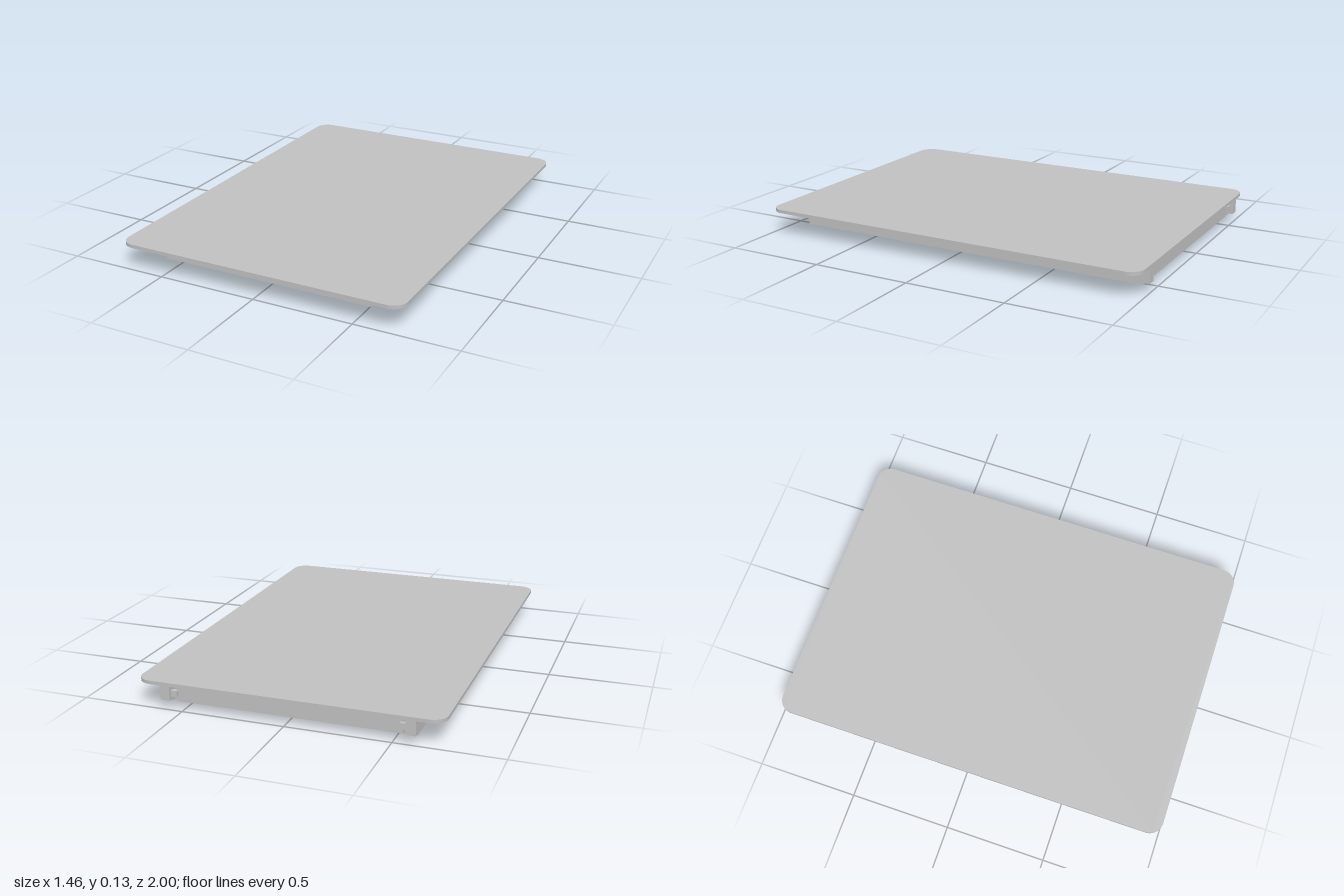
import * as THREE from 'three';

export function createModel() {
  const model = new THREE.Group();
  model.name = 'slidingTray';
  const grey = new THREE.MeshStandardMaterial({ color: 0xc0c0c0 });
  grey.name = 'plain grey';

  function add(name, geometry) {
    const mesh = new THREE.Mesh(geometry, grey);
    mesh.name = name;
    model.add(mesh);
    return mesh;
  }

  // Box given by its limits on each axis
  function box(name, x0, x1, y0, y1, z0, z1) {
    const mesh = add(name, new THREE.BoxGeometry(x1 - x0, y1 - y0, z1 - z0));
    mesh.position.set((x0 + x1) / 2, (y0 + y1) / 2, (z0 + z1) / 2);
  }

  // The same box on the left and the right
  function pair(name, x0, x1, ...rest) {
    box(name + 'Left', x0, x1, ...rest);
    box(name + 'Right', -x1, -x0, ...rest);
  }

  // Horizontal plate with rounded corners
  function plate(name, hx, hz, r, y0, y1) {
    const s = new THREE.Shape();
    s.moveTo(-hx + r, -hz);
    s.lineTo(hx - r, -hz);
    s.absarc(hx - r, -hz + r, r, -Math.PI / 2, 0);
    s.lineTo(hx, hz - r);
    s.absarc(hx - r, hz - r, r, 0, Math.PI / 2);
    s.lineTo(-hx + r, hz);
    s.absarc(-hx + r, hz - r, r, Math.PI / 2, Math.PI);
    s.lineTo(-hx, -hz + r);
    s.absarc(-hx + r, -hz + r, r, Math.PI, Math.PI * 1.5);
    const g = new THREE.ExtrudeGeometry(s, { depth: y1 - y0, bevelEnabled: false, curveSegments: 10 });
    g.rotateX(-Math.PI / 2);
    add(name, g).position.y = y0;
  }

  // Table top
  plate('top', 0.73, 1, 0.07, 0.114, 0.131);

  // Outer rails with brackets at the back ends
  pair('rail', 0.56, 0.605, 0.035, 0.114, -0.97, 0.855);
  pair('bracket', 0.56, 0.605, 0.045, 0.114, -1, -0.97);
  pair('bracketTongue', 0.53, 0.56, 0.06, 0.09, -0.985, -0.965);

  // Slides joining the rails to the tray
  pair('upperSlide', 0.46, 0.56, 0.08, 0.092, -0.95, 0.87);
  pair('lowerSlide', 0.53, 0.56, 0.042, 0.055, -0.95, 0.855);

  // Tray body, back wall and the frame around the open recess
  box('trayBody', -0.54, 0.54, 0.075, 0.114, -0.95, 0.855);
  box('backWall', -0.54, 0.54, 0.035, 0.114, -0.97, -0.95);
  pair('frameSide', 0.48, 0.54, 0.04, 0.075, -0.95, 0.82);
  box('frameFront', -0.54, 0.54, 0.042, 0.075, 0.82, 0.895);

  // Underside panel and mounting plate
  box('rearPanel', -0.54, 0.54, 0.025, 0.04, -0.95, -0.09);
  plate('mountingPlate', 0.45, 0.4, 0.03, 0.02, 0.04);
  for (const z of [-0.27, 0.27]) box('rib', -0.38, 0.38, 0.016, 0.02, z - 0.006, z + 0.006);

  // Feet
  pair('foot', 0.445, 0.52, 0, 0.022, -0.35, 0.35);

  return model;
}
